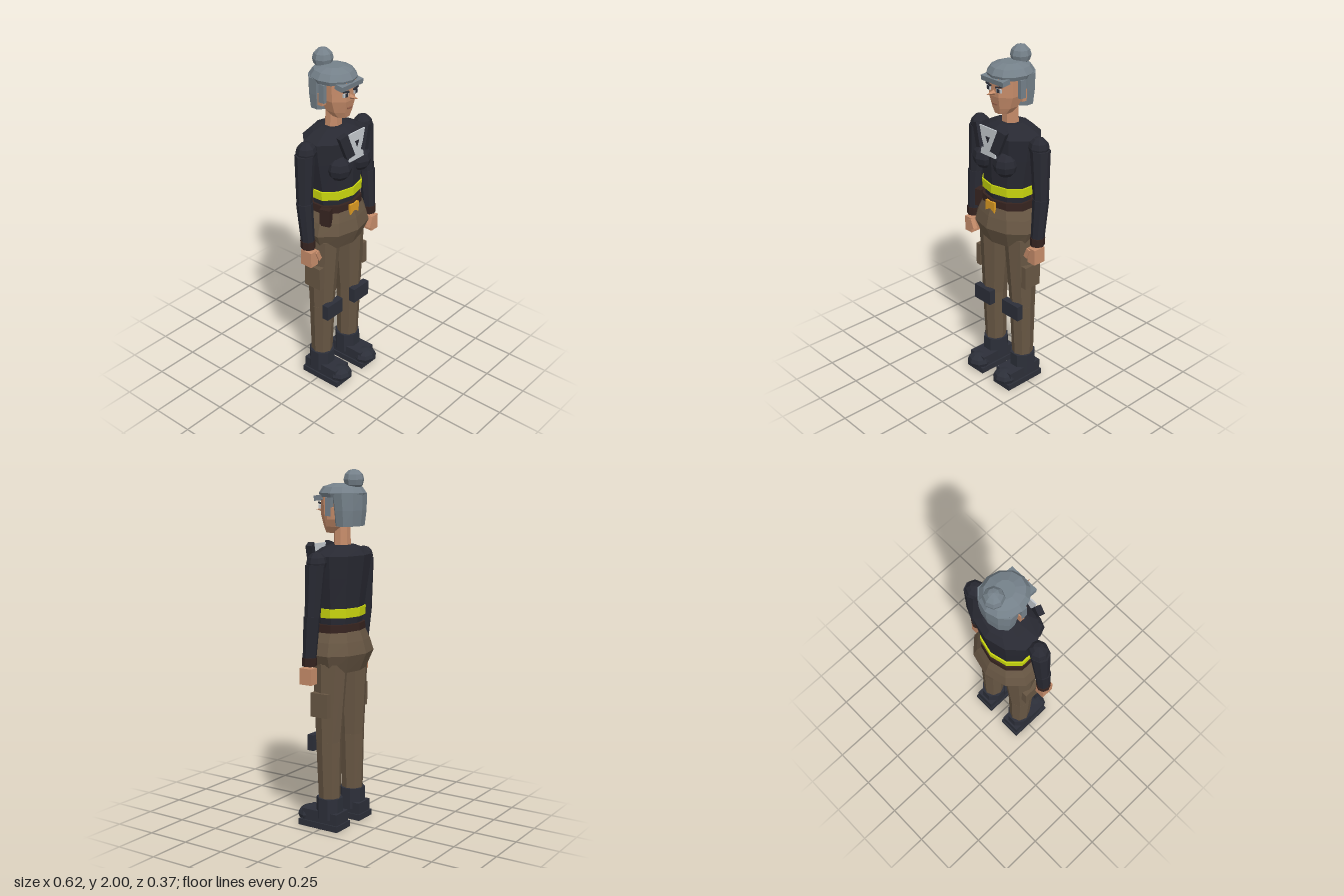
import * as THREE from 'three';

const mat = (name, color) => {
  const m = new THREE.MeshStandardMaterial({ color });
  m.name = name;
  return m;
};

export function createModel() {
  const skin = mat('skin', 0xc68c6a), hair = mat('grey hair', 0x75818a), jacket = mat('dark jacket', 0x282932),
    gear = mat('boots and pads', 0x2c2f39), trousers = mat('brown trousers', 0x675643), belt = mat('dark leather', 0x35231f),
    stripe = mat('yellow stripe', 0xcbd80e), gold = mat('gold', 0xdb9a22), shirt = mat('pale shirt', 0xc4c9ce),
    lip = mat('lips', 0x935f49);
  const root = new THREE.Group();
  root.name = 'standingFigure';

  // Faceted mesh helper
  const add = (name, geo, material, pos = [0, 0, 0], rot = [0, 0, 0]) => {
    const g = geo.index ? geo.toNonIndexed() : geo;
    g.computeVertexNormals();
    const m = new THREE.Mesh(g, material);
    m.name = name;
    m.position.set(...pos);
    m.rotation.set(...rot);
    root.add(m);
    return m;
  };
  const box = (name, material, size, pos, rot) => add(name, new THREE.BoxGeometry(...size), material, pos, rot);
  const ball = (name, material, r, pos, scale = [1, 1, 1], w = 8, h = 6) =>
    add(name, new THREE.SphereGeometry(r, w, h).scale(...scale), material, pos);

  // Closed loft through elliptical rings [y, rx, rz, cx, cz], listed bottom to top
  const loft = (name, material, rings, n = 10, phase = 0) => {
    const p = [], idx = [];
    for (const [y, rx, rz, cx = 0, cz = 0] of rings)
      for (let i = 0; i < n; i++) {
        const a = ((i + phase) / n) * Math.PI * 2;
        p.push(cx + rx * Math.sin(a), y, cz + rz * Math.cos(a));
      }
    for (let k = 0; k < rings.length - 1; k++)
      for (let i = 0; i < n; i++) {
        const a = k * n + i, b = k * n + (i + 1) % n;
        idx.push(a, b, b + n, a, b + n, a + n);
      }
    const top = (rings.length - 1) * n;
    for (let i = 1; i < n - 1; i++) idx.push(0, i + 1, i, top, top + i, top + i + 1);
    const g = new THREE.BufferGeometry();
    g.setAttribute('position', new THREE.Float32BufferAttribute(p, 3));
    g.setIndex(idx);
    return add(name, g, material);
  };
  const plate = (name, material, pts, depth, pos, rot) => add(name,
    new THREE.ExtrudeGeometry(new THREE.Shape(pts.map(([x, y]) => new THREE.Vector2(x, y))),
      { depth, bevelEnabled: false }), material, pos, rot);

  // Trunk
  loft('hips', trousers, [[0.90, 0.175, 0.125, 0, -0.018], [1.0, 0.22, 0.168, 0, -0.018],
    [1.07, 0.195, 0.15, 0, -0.016], [1.125, 0.163, 0.13, 0, -0.014]]);
  loft('belt', belt, [[1.12, 0.166, 0.13, 0, -0.014], [1.165, 0.164, 0.128, 0, -0.014]]);
  loft('torso', jacket, [[1.15, 0.148, 0.109, 0, -0.015], [1.25, 0.16, 0.12, 0, -0.015],
    [1.42, 0.188, 0.135, 0, -0.022], [1.54, 0.203, 0.146, 0, -0.026], [1.575, 0.13, 0.11, 0, -0.03],
    [1.592, 0.075, 0.07, 0, -0.03]]);
  loft('waistStripe', stripe, [[1.203, 0.168, 0.127, 0, -0.015], [1.253, 0.171, 0.129, 0, -0.015]]);
  plate('buckle', gold, [[-0.035, 1.095], [0, 1.115], [0.035, 1.095], [0.035, 1.157], [-0.035, 1.157]],
    0.014, [0, 0, 0.108]);
  box('beltPouch', belt, [0.04, 0.1, 0.06], [-0.157, 1.112, 0.05], [0, 0.3, 0]);

  // Shirt front with a small dark knot
  plate('shirtFront', shirt, [[-0.06, 1.43], [0.06, 1.43], [0.045, 1.5], [0.066, 1.592], [-0.066, 1.592], [-0.045, 1.5]],
    0.008, [0, 0, 0.125]);
  plate('collarKnot', jacket, [[0, 1.505], [0.016, 1.54], [-0.016, 1.54]], 0.004, [0, 0, 0.132]);

  // Head
  loft('neck', skin, [[1.57, 0.052, 0.045, 0, -0.03], [1.69, 0.048, 0.045, 0, -0.028]], 8, 0.5);
  loft('head', skin, [[1.655, 0.045, 0.05, 0, 0.02], [1.69, 0.072, 0.075, 0, 0.005], [1.755, 0.094, 0.1, 0, -0.004],
    [1.87, 0.096, 0.1, 0, -0.004]], 8, 0.5);
  loft('backHair', hair, [[1.695, 0.105, 0.068, 0, -0.078], [1.78, 0.116, 0.078, 0, -0.078],
    [1.87, 0.122, 0.086, 0, -0.072]]);
  loft('crownHair', hair, [[1.85, 0.115, 0.125, 0, -0.03], [1.872, 0.124, 0.132, 0, -0.03],
    [1.905, 0.1, 0.11, 0, -0.03], [1.922, 0.05, 0.055, 0, -0.03]], 12);
  ball('hairBun', hair, 0.057, [0, 1.943, -0.102]);
  box('fringe', hair, [0.17, 0.028, 0.05], [0, 1.845, 0.077], [0.15, 0, 0]);
  add('nose', new THREE.ConeGeometry(0.017, 0.06, 4), skin, [0, 1.777, 0.112], [Math.PI / 2, 0, 0]);
  box('mouth', lip, [0.036, 0.008, 0.008], [0, 1.713, 0.083]);

  for (const s of [1, -1]) {
    const side = s > 0 ? 'left' : 'right';
    // Face details
    box(side + 'Eye', shirt, [0.034, 0.02, 0.008], [s * 0.04, 1.796, 0.088], [0, s * 0.15, 0]);
    box(side + 'Pupil', gear, [0.016, 0.02, 0.008], [s * 0.038, 1.796, 0.091], [0, s * 0.15, 0]);
    box(side + 'Brow', gear, [0.042, 0.009, 0.009], [s * 0.04, 1.815, 0.09], [0, s * 0.15, s * 0.2]);
    box(side + 'Ear', skin, [0.03, 0.065, 0.03], [s * 0.102, 1.765, -0.022]);
    box(side + 'Sideburn', hair, [0.022, 0.1, 0.036], [s * 0.107, 1.8, -0.012]);

    // Jacket front
    ball(side + 'Chest', jacket, 0.071, [s * 0.082, 1.392, 0.08]);
    box(side + 'Lapel', jacket, [0.052, 0.135, 0.035], [s * 0.08, 1.53, 0.124], [0, s * 0.3, -s * 0.36]);

    // Arm
    ball(side + 'Shoulder', jacket, 0.058, [s * 0.233, 1.51, -0.018], [1, 1, 0.95]);
    loft(side + 'UpperArm', jacket, [[1.215, 0.043, 0.042, s * 0.262, -0.01], [1.5, 0.057, 0.054, s * 0.243, -0.018]], 8);
    loft(side + 'Forearm', jacket, [[0.985, 0.037, 0.038, s * 0.262, 0.011], [1.225, 0.046, 0.045, s * 0.264, -0.008]], 8);
    loft(side + 'Cuff', belt, [[0.953, 0.04, 0.041, s * 0.262, 0.012], [1.0, 0.041, 0.042, s * 0.262, 0.01]], 8);
    box(side + 'Palm', skin, [0.056, 0.09, 0.075], [s * 0.262, 0.895, 0.02]);
    box(side + 'Thumb', skin, [0.025, 0.062, 0.028], [s * 0.232, 0.905, 0.05], [0, 0, -s * 0.4]);

    // Leg
    loft(side + 'Thigh', trousers, [[0.495, 0.069, 0.073, s * 0.117, -0.017], [0.95, 0.093, 0.102, s * 0.103, -0.018]], 8);
    loft(side + 'Shin', trousers, [[0.15, 0.06, 0.062, s * 0.117, -0.022], [0.505, 0.07, 0.074, s * 0.117, -0.017]], 8);
    box(side + 'ThighPocket', trousers, [0.035, 0.135, 0.11], [s * 0.19, 0.722, -0.01]);
    box(side + 'KneePad', gear, [0.13, 0.09, 0.04], [s * 0.118, 0.495, 0.062]);

    // Boot
    loft(side + 'BootShaft', gear, [[0.06, 0.075, 0.078, s * 0.117, -0.022], [0.18, 0.073, 0.076, s * 0.117, -0.022]], 8, 0.5);
    box(side + 'BootSole', gear, [0.135, 0.035, 0.262], [s * 0.116, 0.0175, 0.018]);
    box(side + 'BootUpper', gear, [0.118, 0.07, 0.235], [s * 0.116, 0.065, 0.012]);
    ball(side + 'BootToe', gear, 0.07, [s * 0.114, 0.058, 0.118], [1, 0.68, 0.95]);
  }
  return root;
}
